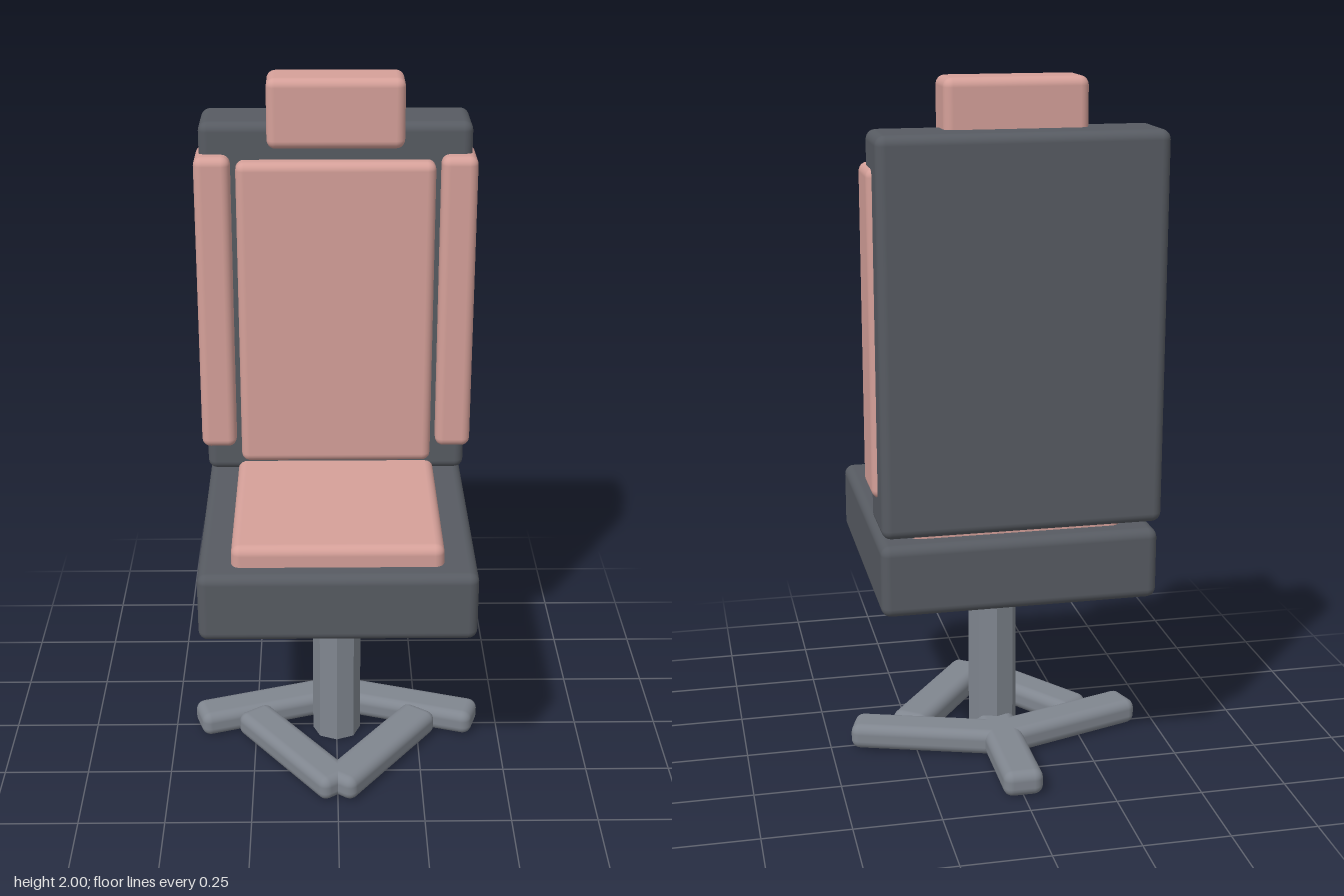
import * as THREE from 'three';
import { RoundedBoxGeometry } from 'three/addons/geometries/RoundedBoxGeometry.js';

export function createModel() {
  const model = new THREE.Group();
  model.name = 'deskChair';

  const makeMaterial = (name, color) => {
    const material = new THREE.MeshStandardMaterial({ color });
    material.name = name;
    return material;
  };
  const shell = makeMaterial('darkShell', 0x575b62);
  const padding = makeMaterial('pinkPadding', 0xd5a099);
  const steel = makeMaterial('greySteel', 0x80868f);

  // Rounded block given by its [min, max] extents on each axis
  const block = (name, material, [x0, x1], [y0, y1], [z0, z1], radius) => {
    const geometry = new RoundedBoxGeometry(x1 - x0, y1 - y0, z1 - z0, 3, radius);
    const mesh = new THREE.Mesh(geometry, material);
    mesh.name = name;
    mesh.position.set((x0 + x1) / 2, (y0 + y1) / 2, (z0 + z1) / 2);
    model.add(mesh);
    return mesh;
  };

  // Seat and backrest
  block('seat', shell, [-0.39, 0.39], [0.555, 0.76], [-0.38, 0.425], 0.027);
  block('seatCushion', padding, [-0.297, 0.297], [0.70, 0.82], [-0.32, 0.367], 0.027);
  block('backrest', shell, [-0.39, 0.39], [0.79, 1.867], [-0.41, -0.203], 0.027);
  block('backCushion', padding, [-0.285, 0.285], [0.835, 1.762], [-0.28, -0.158], 0.025);
  block('headrest', padding, [-0.195, 0.195], [1.80, 2.0], [-0.305, -0.157], 0.025);

  // Side bolsters wrapping the backrest edges
  block('leftBolster', padding, [0.30, 0.404], [0.883, 1.777], [-0.332, -0.158], 0.025);
  block('rightBolster', padding, [-0.404, -0.30], [0.883, 1.777], [-0.332, -0.158], 0.025);

  // Eight-sided column
  const centreZ = 0.022;
  const columnGeometry = new THREE.CylinderGeometry(0.073, 0.073, 0.58, 8).toNonIndexed();
  columnGeometry.computeVertexNormals();
  const column = new THREE.Mesh(columnGeometry, steel);
  column.name = 'column';
  column.position.set(0, 0.295, centreZ);
  model.add(column);

  // Five foot bars on a ring, each turned by the mirrored angle
  const ring = 0.22;
  for (let i = 0; i < 5; i++) {
    const angle = Math.PI + (i * Math.PI * 2) / 5;
    const bar = block('footBar' + (i + 1), steel, [-0.058, 0.058], [0, 0.077], [-0.23, 0.23], 0.028);
    bar.position.x = ring * Math.sin(angle);
    bar.position.z = centreZ + ring * Math.cos(angle);
    bar.rotation.y = -angle;
  }

  return model;
}
